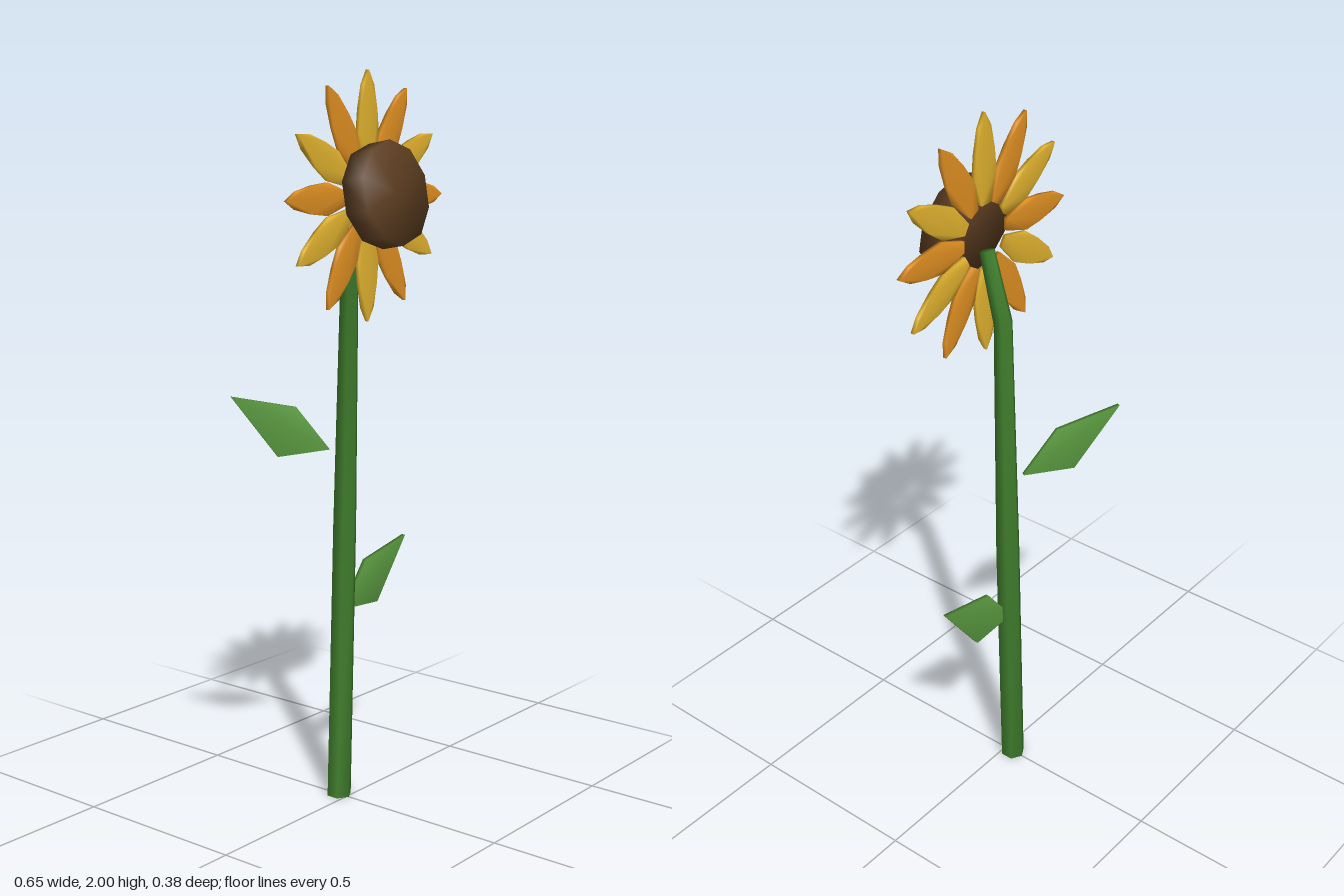
import * as THREE from 'three';
import { mergeVertices } from 'three/addons/utils/BufferGeometryUtils.js';

const mat = (name, color) => {
  const m = new THREE.MeshStandardMaterial({ color });
  m.name = name;
  return m;
};

// Weld corners so the shading runs softly over the edges
function soften(geometry) {
  geometry.deleteAttribute('normal');
  geometry.deleteAttribute('uv');
  const welded = mergeVertices(geometry, 1e-5);
  welded.computeVertexNormals();
  return welded;
}

// Thin plate cut from an outline, centred on z = 0
function plate(points, depth) {
  const shape = new THREE.Shape(points.map(([x, y]) => new THREE.Vector2(x, y)));
  const g = new THREE.ExtrudeGeometry(shape, { depth, bevelEnabled: false });
  g.translate(0, 0, -depth / 2);
  return soften(g);
}

// Bent, tapering tube; each ring is [x, y, z, radius, forward tilt]
function loft(rings, sides) {
  const pos = [], index = [];
  for (const [x, y, z, r, tilt] of rings) {
    for (let i = 0; i < sides; i++) {
      const a = (i / sides) * Math.PI * 2;
      const dz = Math.cos(a) * r;
      pos.push(x + Math.sin(a) * r, y - dz * Math.sin(tilt), z + dz * Math.cos(tilt));
    }
  }
  for (let k = 0; k < rings.length - 1; k++) {
    for (let i = 0; i < sides; i++) {
      const a = k * sides + i, b = k * sides + (i + 1) % sides;
      index.push(a, b, b + sides, a, b + sides, a + sides);
    }
  }
  const top = (rings.length - 1) * sides;
  for (let i = 1; i < sides - 1; i++) {
    index.push(0, i + 1, i, top, top + i, top + i + 1);
  }
  const g = new THREE.BufferGeometry();
  g.setAttribute('position', new THREE.Float32BufferAttribute(pos, 3));
  g.setIndex(index);
  g.computeVertexNormals();
  return g;
}

export function createModel() {
  const model = new THREE.Group();
  model.name = 'flower';
  const stemGreen = mat('stemGreen', 0x3f7d2c);
  const leafGreen = mat('leafGreen', 0x5a9a40);
  const yellow = mat('petalYellow', 0xe2b32f);
  const orange = mat('petalOrange', 0xe09022);
  const brown = mat('seedBrown', 0x5c3d20);

  const add = (parent, name, geometry, material) => {
    const mesh = new THREE.Mesh(geometry, material);
    mesh.name = name;
    parent.add(mesh);
    return mesh;
  };

  // Stem: leans sideways, then forward to the flower head
  add(model, 'stem', loft([
    [0, 0, -0.028, 0.035, 0],
    [0.04, 0.77, -0.04, 0.034, 0.03],
    [0.003, 1.45, 0.006, 0.026, 0.17],
    [0, 1.635, 0.06, 0.021, 0.28],
  ], 6), stemGreen);

  // Two kite-shaped leaves
  const leafShape = plate([[0, 0], [0.148, -0.01], [0.277, 0.16], [0.096, 0.122]], 0.012);
  const leftLeaf = add(model, 'leftLeaf', leafShape, leafGreen);
  leftLeaf.position.set(0.022, 0.538, -0.031);
  const rightLeaf = add(model, 'rightLeaf', leafShape, leafGreen);
  rightLeaf.position.set(-0.02, 0.995, -0.045);
  rightLeaf.rotation.y = Math.PI * 5 / 6;

  // Ring of twelve petals in alternating colours
  const petals = new THREE.Group();
  petals.name = 'petals';
  petals.position.set(0, 1.675, 0.068);
  model.add(petals);
  const half = [[0.085, 0.016], [0.165, 0.042], [0.225, 0.036], [0.288, 0.022]];
  const outline = [
    ...half.map(([x, y]) => [x, -y]),
    [0.325, 0],
    ...half.slice().reverse(),
  ];
  const petalShape = plate(outline, 0.011);
  for (let i = 0; i < 12; i++) {
    const petal = add(petals, 'petal', petalShape, i % 2 ? yellow : orange);
    petal.rotation.z = (i * Math.PI) / 6;
  }

  // Seed disc, tipped slightly upward
  const disc = add(model, 'seedDisc', soften(new THREE.CylinderGeometry(0.137, 0.137, 0.07, 10)), brown);
  disc.position.set(0, 1.683, 0.131);
  disc.rotation.x = Math.PI / 2 - 0.175;

  return model;
}
